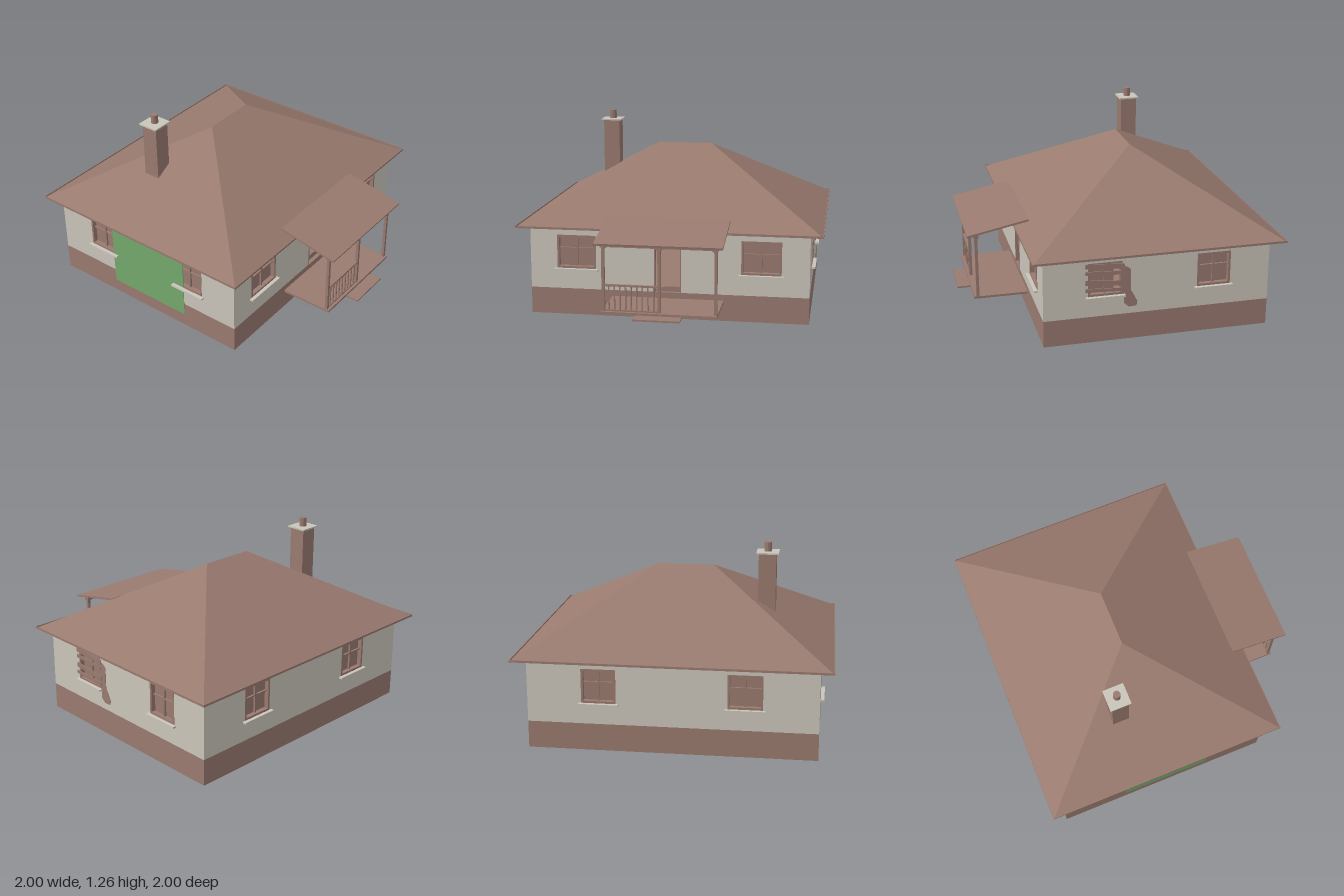
import * as THREE from 'three';

export function createModel() {
  const model = new THREE.Group();
  const mat = (name, color) => {
    const m = new THREE.MeshStandardMaterial({ color, side: THREE.DoubleSide, flatShading: true });
    m.name = name;
    return m;
  };
  const brown = mat('brown', 0x997a6f);
  const plaster = mat('plaster', 0xcac5ba);
  const green = mat('green', 0x74a96d);

  const add = (name, geo, material, parent = model) => {
    const m = new THREE.Mesh(geo, material);
    m.name = name;
    parent.add(m);
    return m;
  };
  // Box given by its min and max on each axis
  const box = (name, material, x0, x1, y0, y1, z0, z1, parent = model) => {
    const m = add(name, new THREE.BoxGeometry(x1 - x0, y1 - y0, z1 - z0), material, parent);
    m.position.set((x0 + x1) / 2, (y0 + y1) / 2, (z0 + z1) / 2);
    return m;
  };
  const polygon = pts => new THREE.Shape(pts.map(p => new THREE.Vector2(...p)));
  const rect = (x0, x1, y0, y1) => polygon([[x0, y0], [x1, y0], [x1, y1], [x0, y1]]);
  const extrude = (shape, depth) => new THREE.ExtrudeGeometry(shape, { depth, bevelEnabled: false });

  const W = 0.917, ZF = 0.56, ZB = -0.915, ZC = (ZF + ZB) / 2, D = (ZF - ZB) / 2;
  const BASE = 0.176, EAVE = 0.59, WIN0 = 0.314, WIN1 = 0.537;

  // Four sides: centre, heading, half width, window positions and window width
  const sides = {
    front: [0, ZF, 0, W, [-0.607, 0.607], 0.26],
    right: [W, ZC, Math.PI / 2, D, [-0.342, 0.367], 0.22],
    back: [0, ZB, Math.PI, W, [-0.46, 0.46], 0.22],
    left: [-W, ZC, -Math.PI / 2, D, [-0.367, 0.367], 0.22],
  };

  // Recessed window with a deep frame, crossed glazing bars and a sill
  function addWindow(parent, x, w, broken) {
    const g = new THREE.Group();
    g.name = broken ? 'brokenWindow' : 'window';
    g.position.x = x;
    parent.add(g);
    const h = w / 2, t = 0.014, mid = (WIN0 + WIN1) / 2 + 0.02;
    // the broken one has lost the glass along one edge
    box('pane', brown, -h, broken ? h - 0.05 : h, WIN0, WIN1, -0.032, -0.028, g);
    const frame = rect(-h, h, WIN0, WIN1);
    frame.holes.push(rect(-h + t, h - t, WIN0 + t, WIN1 - t));
    add('frame', extrude(frame, 0.034), brown, g).position.z = -0.032;
    box('uprightBar', brown, -0.006, 0.006, WIN0, WIN1, -0.03, -0.015, g);
    box('crossBar', brown, -h, h, mid - 0.005, mid + 0.005, -0.03, -0.015, g);
    box('sill', plaster, -h - 0.016, h + 0.016, 0.302, 0.314, 0, 0.026, g);
  }

  const side = {};
  for (const [name, [x, z, turn, half, windows, w]] of Object.entries(sides)) {
    const g = new THREE.Group();
    g.name = name + 'Side';
    g.position.set(x, 0, z);
    g.rotation.y = turn;
    model.add(g);
    side[name] = g;
    // the front wall is cut out around the doorway
    const wall = name === 'front'
      ? polygon([[-half, BASE], [-0.085, BASE], [-0.085, 0.516], [0.08, 0.516], [0.08, BASE],
        [half, BASE], [half, EAVE], [-half, EAVE]])
      : rect(-half, half, BASE, EAVE);
    windows.forEach((wx, i) => {
      wall.holes.push(rect(wx - w / 2, wx + w / 2, WIN0, WIN1));
      addWindow(g, wx, w, name === 'right' && i === 0);
    });
    add('wall', new THREE.ShapeGeometry(wall), plaster, g);
    add('foundation', new THREE.ShapeGeometry(rect(-half, half, 0, BASE)), brown, g);
  }
  const floor = add('floor', new THREE.PlaneGeometry(2 * W, 2 * D), brown);
  floor.rotation.x = -Math.PI / 2;
  floor.position.set(0, 0.17, ZC);

  // Boards nailed over the broken window, beside a patch of bare wall
  [[0.512, -0.07], [0.468, -0.05], [0.4, -0.09], [0.353, -0.05]].forEach(([y, tilt], i) => {
    const b = add('board', new THREE.BoxGeometry(0.25, i % 2 ? 0.022 : 0.032, 0.006), brown, side.right);
    b.position.set(-0.345, y, 0.004);
    b.rotation.z = tilt;
  });
  const patch = polygon([[-0.24, 0.506], [-0.2, 0.495], [-0.178, 0.475], [-0.178, 0.335], [-0.16, 0.305],
    [-0.135, 0.256], [-0.14, 0.225], [-0.19, 0.222], [-0.222, 0.25], [-0.22, 0.3], [-0.24, 0.33]]);
  add('barePatch', extrude(patch, 0.003), brown, side.right);

  // Green panel on the left wall
  box('greenPanel', green, -0.283, 0.325, 0.09, 0.63, -0.002, 0.003, side.left);

  // Hipped roof with a flat soffit
  const a = [-1, EAVE, 0.635], b = [1, EAVE, 0.635], c = [1, EAVE, -1], d = [-1, EAVE, -1];
  const rl = [-0.187, 1.057, -0.183], rr = [0.187, 1.057, -0.183];
  const roofGeo = new THREE.BufferGeometry();
  roofGeo.setAttribute('position', new THREE.Float32BufferAttribute(
    [a, b, rr, a, rr, rl, b, c, rr, c, d, rl, c, rl, rr, d, a, rl, a, c, b, a, d, c].flat(), 3));
  roofGeo.computeVertexNormals();
  add('roof', roofGeo, brown);

  // Thin fascia boards around the eaves
  box('fascia', brown, -1, 1, 0.588, 0.602, 0.631, 0.635);
  box('fascia', brown, -1, 1, 0.588, 0.602, -1, -0.996);
  for (const s of [-1, 1]) box('fascia', brown, s * 0.998 - 0.002, s * 0.998 + 0.002, 0.588, 0.602, -1, 0.635);

  // Chimney
  box('chimney', brown, -0.608, -0.496, 0.7, 1.19, -0.418, -0.306);
  box('chimneyCap', plaster, -0.625, -0.481, 1.188, 1.198, -0.433, -0.293);
  const pipe = add('chimneyPipe', new THREE.CylinderGeometry(0.024, 0.024, 0.06, 10), brown);
  pipe.position.set(-0.552, 1.228, -0.363);

  // Door frame around the open doorway, with a heap behind the threshold
  const door = rect(-0.092, 0.087, 0.136, 0.522);
  door.holes.push(rect(-0.083, 0.078, BASE, 0.514));
  add('doorFrame', extrude(door, 0.024), brown).position.z = ZF - 0.022;
  const heap = polygon([[-0.085, 0.17], [0.082, 0.17], [0.082, 0.208], [-0.02, 0.208], [-0.05, 0.2], [-0.085, 0.182]]);
  add('heap', extrude(heap, 0.04), brown).position.z = ZF - 0.07;

  // Porch
  const porch = new THREE.Group();
  porch.name = 'porch';
  model.add(porch);
  box('porchFloor', brown, -0.37, 0.365, 0.122, 0.137, ZF, 0.915, porch);
  box('step', brown, -0.15, 0.145, 0.111, 0.122, 0.9, 1, porch);
  box('beam', brown, -0.37, 0.37, 0.55, 0.568, 0.88, 0.9, porch);
  const rise = 0.083, run = 0.405;
  const cover = add('porchRoof', new THREE.BoxGeometry(0.806, 0.013, Math.hypot(rise, run)), brown, porch);
  cover.position.set(0, 0.617, 0.75);
  cover.rotation.x = Math.atan2(rise, run);

  // Square posts with small capitals and corner brackets
  for (const x of [-0.355, 0, 0.355]) {
    box('post', brown, x - 0.0095, x + 0.0095, 0.135, 0.578, 0.8805, 0.8995, porch);
    box('capital', brown, x - 0.016, x + 0.016, 0.548, 0.572, 0.874, 0.906, porch);
    for (const s of [-1, 1]) {
      if (Math.abs(x + s * 0.03) > 0.36) continue;
      const bracket = polygon([[x, 0.55], [x + s * 0.03, 0.55], [x + s * 0.015, 0.541], [x + s * 0.0095, 0.525], [x, 0.525]]);
      add('bracket', extrude(bracket, 0.012), brown, porch).position.z = 0.884;
    }
  }

  // Railing
  box('topRail', brown, -0.355, 0, 0.298, 0.31, 0.882, 0.898, porch);
  box('bottomRail', brown, -0.355, 0, 0.137, 0.147, 0.884, 0.896, porch);
  for (let i = 1; i <= 9; i++) {
    const x = -0.355 + i * 0.0355;
    box('baluster', brown, x - 0.004, x + 0.004, 0.145, 0.3, 0.886, 0.894, porch);
  }
  return model;
}
